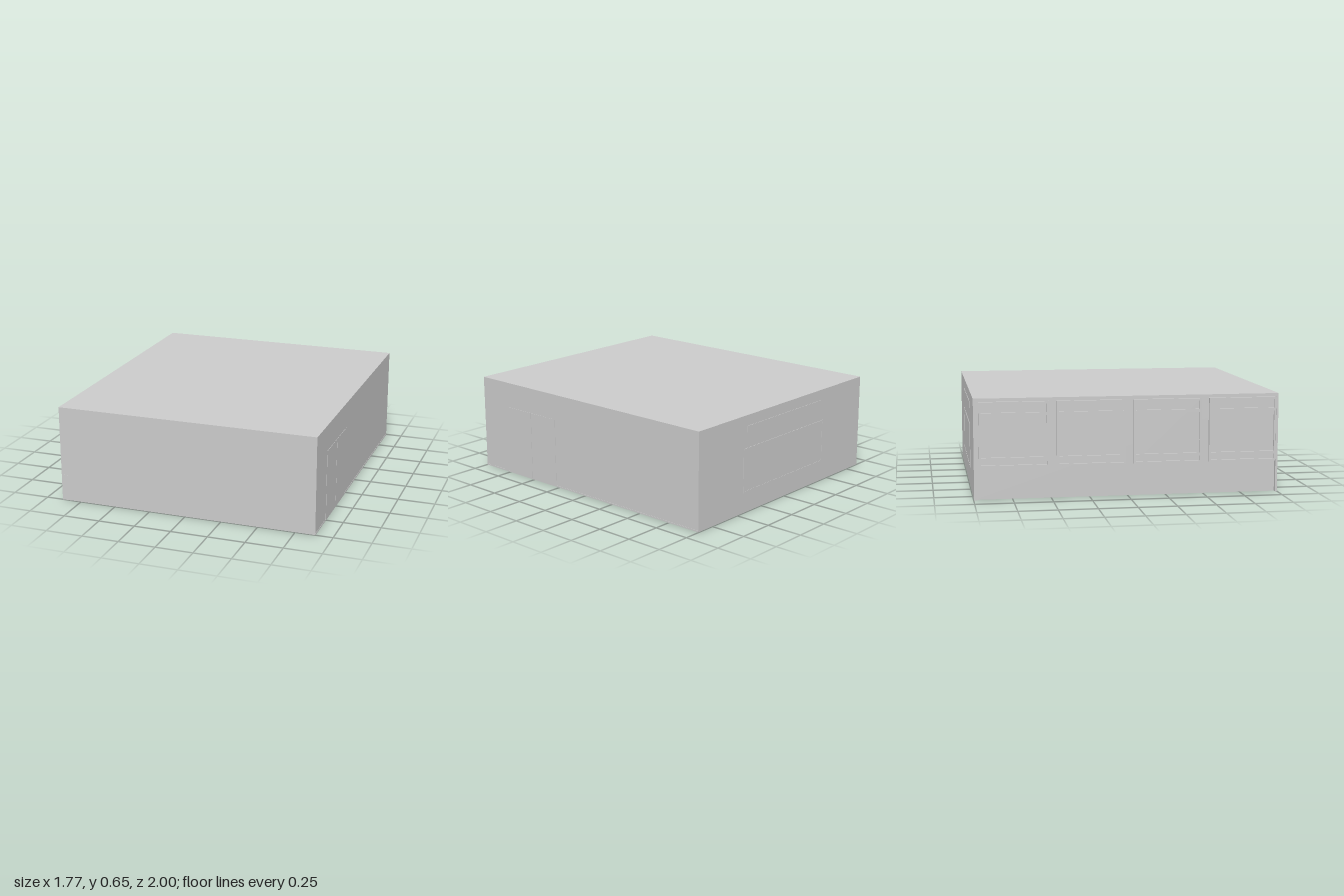
import * as THREE from 'three';

const grey = new THREE.MeshStandardMaterial({ color: 0xcccccc, flatShading: true });

export function createModel() {
  const model = new THREE.Group();
  model.name = 'building';

  // Box given by its min and max on each axis
  function block(name, [x0, x1], [y0, y1], [z0, z1], parent = model) {
    const mesh = new THREE.Mesh(new THREE.BoxGeometry(x1 - x0, y1 - y0, z1 - z0), grey);
    mesh.position.set((x0 + x1) / 2, (y0 + y1) / 2, (z0 + z1) / 2);
    mesh.name = name;
    parent.add(mesh);
    return mesh;
  }

  const W = 0.885, H = 0.655, wall = -0.86, back = -0.997;

  // Main volume, with roof and end walls reaching past the recessed window side
  block('body', [wall, W - 0.002], [0, H], [back, 0.999]);
  block('roofEdge', [-W, wall], [H - 0.018, H], [back, 0.999]);
  block('backWallEnd', [-W, wall], [0, H - 0.018], [back, back + 0.02]);
  block('frontWallEnd', [-W, wall], [0, H - 0.018], [0.985, 0.999]);
  block('basePlinth', [W - 0.002, W], [0, 0.01], [back, 0.999]);

  // Four window bays: a frame, two crossbars and a glass pane
  for (let i = 0; i < 4; i++) {
    const bay = new THREE.Group();
    bay.name = 'windowBay' + (i + 1);
    model.add(bay);
    const z0 = -0.963 + i * 0.5, z1 = z0 + 0.45, t = 0.014;
    const depth = [-0.882, wall];
    block('glass', [wall - 0.008, wall], [0.21, 0.63], [z0, z1], bay);
    for (const z of [z0, z1 - t]) block('frameSide', depth, [0.21, 0.63], [z, z + t], bay);
    for (const [a, b] of [[0.616, 0.63], [0.54, 0.56], [0.255, 0.272], [0.21, 0.222]])
      block('frameBar', depth, [a, b], [z0 + t, z1 - t], bay);
  }
  // Sill end showing at the front corner
  block('sillEnd', [-0.87, -0.825], [0.172, 0.18], [0.995, 1]);

  // Double door on the side wall, divided by a narrow gap
  block('doorLeafFront', [W - 0.002, W], [0.01, 0.48], [0.517, 0.755]);
  block('doorLeafBack', [W - 0.002, W], [0.01, 0.48], [0.278, 0.513]);

  // Back wall: framed shutter with a long slot panel above
  const shutter = new THREE.Group();
  shutter.name = 'backShutter';
  model.add(shutter);
  const f = 0.01;
  block('shutterPanel', [-0.428, 0.428], [0.146, 0.426], [back - 0.001, back], shutter);
  for (const s of [-1, 1])
    block('shutterFrameSide', [s * 0.433 - f / 2, s * 0.433 + f / 2], [0.136, 0.436], [-1, back], shutter);
  for (const y of [0.136, 0.426])
    block('shutterFrameBar', [-0.428, 0.428], [y, y + f], [-1, back], shutter);
  block('backSlotPanel', [-0.405, 0.405], [0.535, 0.583], [-1, back]);

  return model;
}
